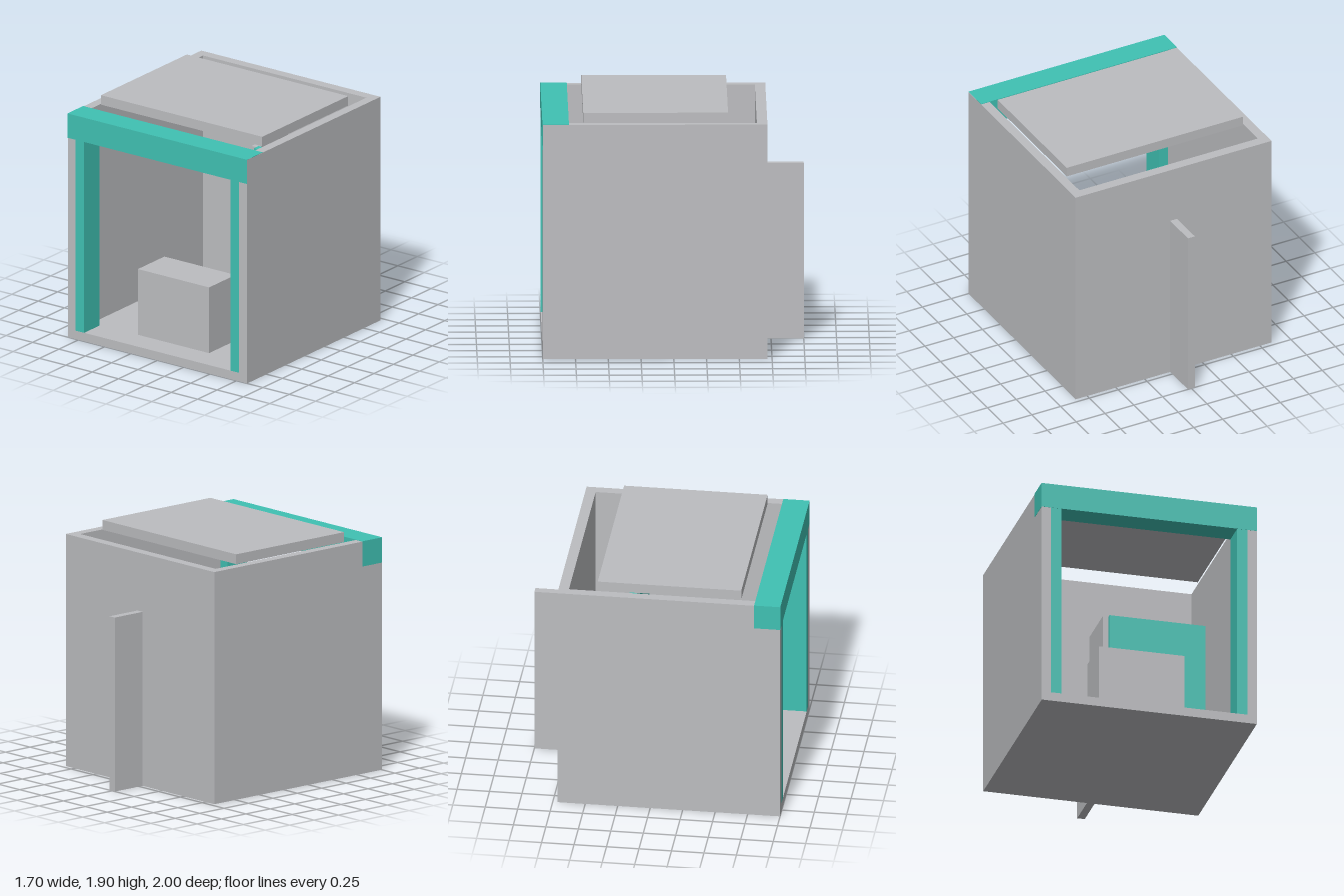
import * as THREE from 'three';

export function createModel() {
  const group = new THREE.Group();
  const grey = new THREE.MeshStandardMaterial({ color: 0xbcbdc0 });
  grey.name = 'wall grey';
  const teal = new THREE.MeshStandardMaterial({ color: 0x40c1b3 });
  teal.name = 'trim teal';

  // Box given by its minimum and maximum corners
  function box(name, material, [x0, y0, z0], [x1, y1, z1]) {
    const mesh = new THREE.Mesh(new THREE.BoxGeometry(x1 - x0, y1 - y0, z1 - z0), material);
    mesh.position.set((x0 + x1) / 2, (y0 + y1) / 2, (z0 + z1) / 2);
    mesh.name = name;
    group.add(mesh);
  }

  // Shell: U-shaped walls, open at the front and top
  const outline = [
    [-0.85, -1], [-0.775, -1], [-0.775, 0.635], [0.775, 0.635],
    [0.775, -1], [0.85, -1], [0.85, 0.715], [-0.85, 0.715],
  ].map(([x, y]) => new THREE.Vector2(x, y));
  const wallGeometry = new THREE.ExtrudeGeometry(new THREE.Shape(outline), { depth: 1.82, bevelEnabled: false });
  wallGeometry.rotateX(-Math.PI / 2);
  const walls = new THREE.Mesh(wallGeometry, grey);
  walls.name = 'walls';
  group.add(walls);
  box('floor', grey, [-0.775, 0, -0.635], [0.775, 0.07, 1]);

  // Raised roof slab
  box('roofPanel', grey, [-0.765, 1.82, -0.415], [0.765, 1.897, 0.69]);

  // Front frame
  box('frontBeam', teal, [-0.852, 1.625, 0.8], [0.849, 1.823, 1.002]);
  box('leftPost', teal, [0.695, 0.07, 0.8], [0.775, 1.625, 1]);
  box('rightPost', teal, [-0.775, 0.07, 0.8], [-0.695, 1.625, 1]);

  // Counter inside the opening
  box('counter', grey, [-0.34, 0.07, 0.45], [0.335, 0.605, 0.79]);

  // Partitions: one across, one running out through the back wall
  box('crossPartition', teal, [0.015, 0.07, -0.28], [0.775, 1.365, -0.22]);
  box('rearPartition', grey, [-0.03, 0, -1], [0.03, 1.364, -0.25]);

  return group;
}
